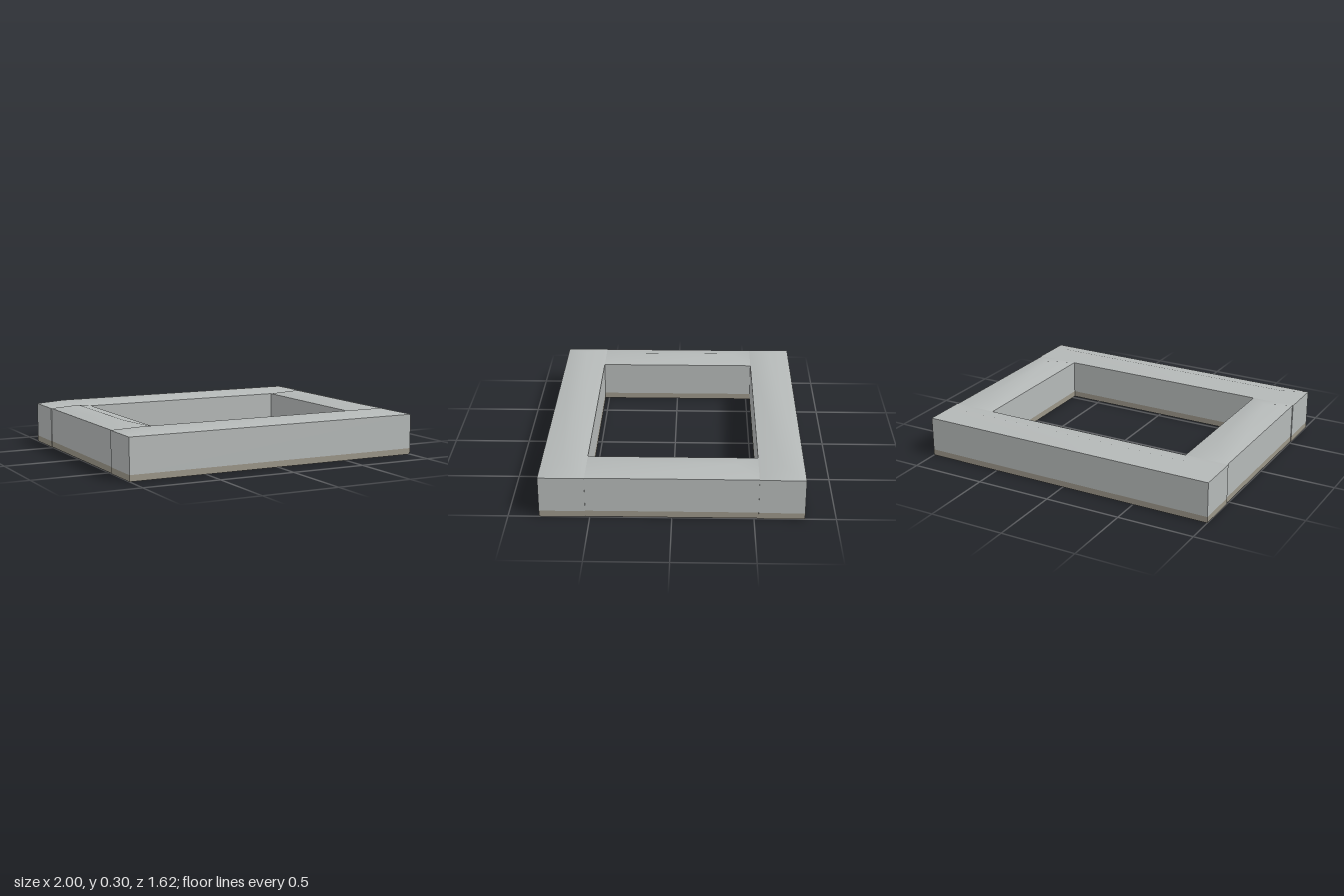
import * as THREE from 'three';

const stone = new THREE.MeshStandardMaterial({ color: 0xb4b8b7 });
stone.name = 'grey stone';
const base = new THREE.MeshStandardMaterial({ color: 0x9a9588, side: THREE.DoubleSide });
base.name = 'sandy base';

const SKIRT = 0.04, EAVE = 0.265, RIDGE = 0.297;

// Shallow hipped cap, smooth across the ridge; the ridge runs along x
function hipCap(length, width) {
  const l = length / 2, w = width / 2, r = l - w, h = RIDGE - EAVE;
  const geo = new THREE.BufferGeometry();
  geo.setAttribute('position', new THREE.Float32BufferAttribute([
    -l, 0, w, l, 0, w, l, 0, -w, -l, 0, -w, -r, h, 0, r, h, 0,
  ], 3));
  geo.setIndex([0, 1, 5, 0, 5, 4, 1, 2, 5, 2, 3, 4, 2, 4, 5, 3, 0, 4]);
  geo.computeVertexNormals();
  return geo;
}

// Four-sided open band: a box without its top and bottom faces
function openBand(length, height, width) {
  const geo = new THREE.BoxGeometry(length, height, width);
  const index = Array.from(geo.index.array);
  geo.setIndex([...index.slice(0, 12), ...index.slice(24)]);
  geo.clearGroups();
  return geo;
}

// One straight wall running along x
function wall(name, length, width) {
  const group = new THREE.Group();
  group.name = name;
  const add = (part, geo, mat, y) => {
    const mesh = new THREE.Mesh(geo, mat);
    mesh.name = part;
    mesh.position.y = y;
    group.add(mesh);
  };
  // Block with a sandy underside, recessed above the skirt
  add('block', new THREE.BoxGeometry(length, EAVE - SKIRT, width),
    [stone, stone, stone, base, stone, stone], (EAVE + SKIRT) / 2);
  add('skirt', openBand(length, SKIRT, width), base, SKIRT / 2);
  add('cap', hipCap(length, width), stone, EAVE + 0.0005);
  return group;
}

export function createModel() {
  const model = new THREE.Group();
  model.name = 'rectangularWallFrame';

  for (const s of [1, -1]) {
    // Long walls span the full width
    const long = wall(s > 0 ? 'frontWall' : 'backWall', 2, 0.282);
    long.position.z = s * 0.669;
    // Short walls fit between them, set in slightly
    const short = wall(s > 0 ? 'leftWall' : 'rightWall', 1.056, 0.282);
    short.rotation.y = Math.PI / 2;
    short.position.x = s * 0.854;
    model.add(long, short);
  }
  return model;
}
